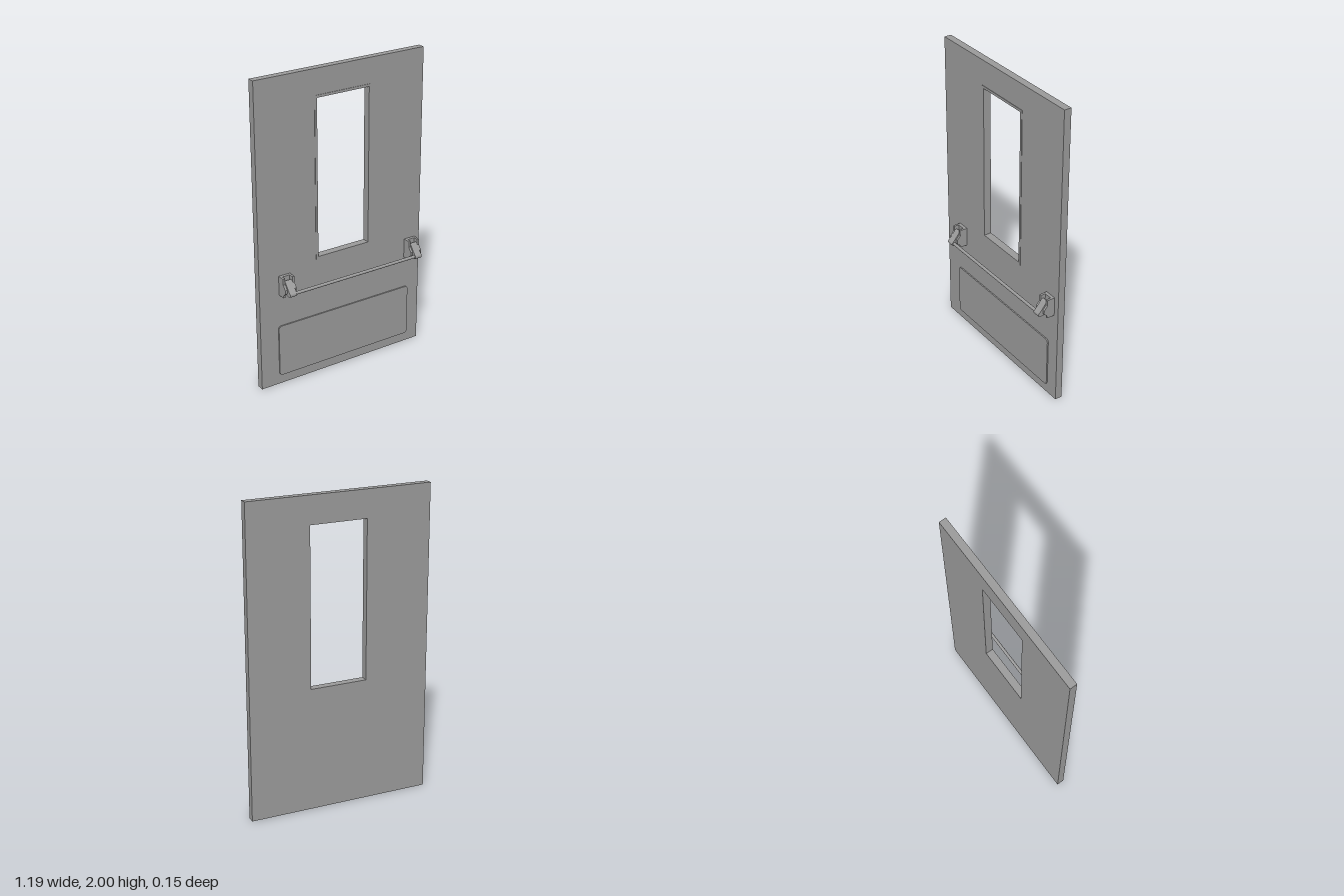
import * as THREE from 'three';

const material = new THREE.MeshStandardMaterial({ color: 0x999999 });

function add(parent, name, geometry, x = 0, y = 0, z = 0) {
  const mesh = new THREE.Mesh(geometry, material);
  mesh.name = name;
  mesh.position.set(x, y, z);
  parent.add(mesh);
  return mesh;
}

function outline(target, x0, y0, x1, y1) {
  target.moveTo(x0, y0);
  target.lineTo(x1, y0);
  target.lineTo(x1, y1);
  target.lineTo(x0, y1);
  target.closePath();
  return target;
}

// Flat panel with a rectangular opening
function openPanel(outer, inner, depth) {
  const shape = outline(new THREE.Shape(), ...outer);
  shape.holes.push(outline(new THREE.Path(), ...inner));
  return new THREE.ExtrudeGeometry(shape, { depth, bevelEnabled: false });
}

function roundedShape(w, h, r) {
  const s = new THREE.Shape();
  const x = w / 2, y = h / 2;
  s.absarc(x - r, y - r, r, 0, Math.PI / 2);
  s.absarc(r - x, y - r, r, Math.PI / 2, Math.PI);
  s.absarc(r - x, r - y, r, Math.PI, Math.PI * 1.5);
  s.absarc(x - r, r - y, r, Math.PI * 1.5, Math.PI * 2);
  s.closePath();
  return s;
}

// Side profile of [z, y] points, extruded along x and centred on x = 0
function sideProfile(points, width) {
  const shape = new THREE.Shape(points.map(([z, y]) => new THREE.Vector2(-z, y)));
  const g = new THREE.ExtrudeGeometry(shape, { depth: width, bevelEnabled: false });
  g.translate(0, 0, -width / 2);
  g.rotateY(Math.PI / 2);
  return g;
}

function rodAlongX(radius, length) {
  return new THREE.CylinderGeometry(radius, radius, length, 20).rotateZ(Math.PI / 2);
}

// Push bar support: back plate, two cheeks and a sloping arm ending in a round knuckle
function createBracket(x) {
  const bracket = new THREE.Group();
  bracket.name = 'barBracket';
  bracket.position.x = x;
  add(bracket, 'backPlate', new THREE.BoxGeometry(0.08, 0.127, 0.02), 0, 0.6835, -0.02);
  const cheek = [[-0.03, 0.62], [0.022, 0.62], [0.022, 0.636], [0.045, 0.656],
    [0.045, 0.68], [0.022, 0.708], [0.022, 0.747], [-0.03, 0.747]];
  for (const side of [-1, 1]) {
    add(bracket, 'cheek', sideProfile(cheek, 0.014), side * 0.033);
  }
  const arm = [[0.006, 0.655], [0.03, 0.64], [0.058, 0.638], [0.071, 0.662],
    [0.052, 0.682], [0.022, 0.72], [0.006, 0.725]];
  add(bracket, 'arm', sideProfile(arm, 0.048));
  add(bracket, 'knuckle', rodAlongX(0.015, 0.048), 0, 0.652, 0.061);
  return bracket;
}

export function createModel() {
  const door = new THREE.Group();
  door.name = 'door';

  // Door leaf and thin window trim
  const opening = [-0.175, 0.803, 0.195, 1.822];
  add(door, 'doorLeaf', openPanel([-0.597, 0, 0.597, 2], opening, 0.047), 0, 0, -0.077);
  add(door, 'windowTrim', openPanel([-0.191, 0.787, 0.211, 1.838], opening, 0.003), 0, 0, -0.03);

  // Kick plate
  const plate = new THREE.ExtrudeGeometry(roundedShape(0.98, 0.345, 0.02),
    { depth: 0.008, bevelEnabled: false, curveSegments: 6 });
  add(door, 'kickPlate', plate, 0.02, 0.233, -0.03);

  // Push bar with its two brackets
  add(door, 'pushBar', rodAlongX(0.01, 0.92), 0.052, 0.652, 0.058);
  for (const x of [-0.42, 0.52]) door.add(createBracket(x));

  return door;
}
